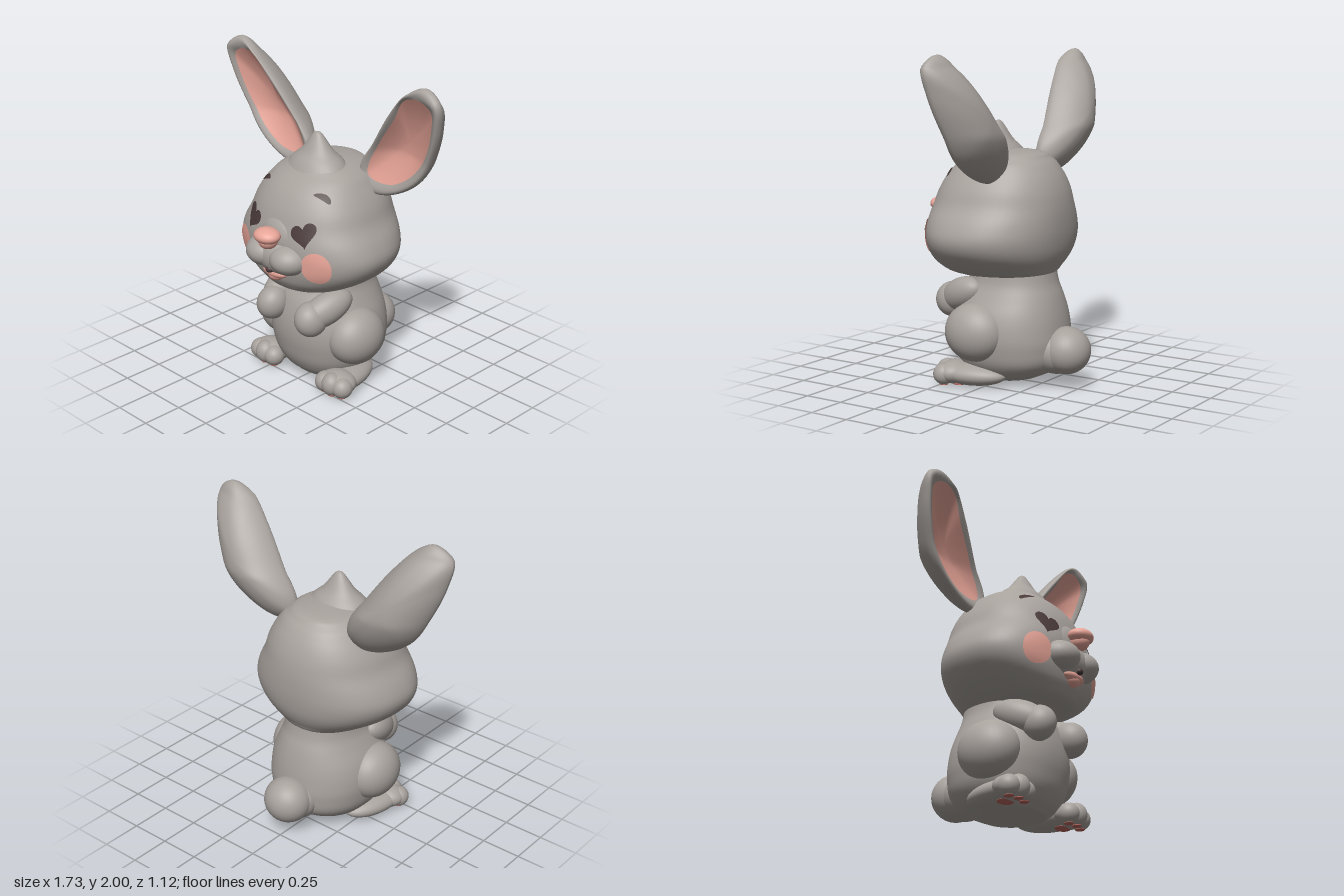
import * as THREE from 'three';

const mat = (name, color, extra = {}) => new THREE.MeshStandardMaterial({ name, color, ...extra });

// Horizontal slices: [y, half width, back z, front z]
const HEAD = [
  [0.635, 0.12, -0.14, 0.16], [0.67, 0.25, -0.28, 0.34], [0.72, 0.355, -0.325, 0.4], [0.8, 0.46, -0.365, 0.43],
  [0.9, 0.51, -0.385, 0.44], [1.0, 0.485, -0.39, 0.44], [1.1, 0.425, -0.385, 0.42], [1.2, 0.385, -0.365, 0.385],
  [1.3, 0.32, -0.32, 0.32], [1.37, 0.25, -0.26, 0.235], [1.41, 0.15, -0.18, 0.15], [1.425, 0.001, -0.02, 0.0],
];
const BODY = [
  [0.01, 0.001, -0.001, 0.001], [0.02, 0.13, -0.13, 0.13], [0.05, 0.22, -0.24, 0.2], [0.12, 0.3, -0.35, 0.26],
  [0.25, 0.345, -0.39, 0.3], [0.35, 0.35, -0.385, 0.31], [0.45, 0.33, -0.37, 0.3], [0.55, 0.285, -0.345, 0.27],
  [0.62, 0.255, -0.32, 0.23], [0.72, 0.24, -0.3, 0.2],
];
// Ear outlines, outer rim and inner lining, point for point
const EAR_OUT = [[0.21, 1.3], [0.32, 1.245], [0.5, 1.29], [0.67, 1.41], [0.78, 1.6], [0.845, 1.78],
  [0.86, 1.93], [0.75, 2.0], [0.635, 1.95], [0.48, 1.79], [0.33, 1.58], [0.215, 1.41]];
const EAR_IN = [[0.27, 1.36], [0.32, 1.33], [0.465, 1.34], [0.62, 1.44], [0.73, 1.6], [0.79, 1.77],
  [0.8, 1.88], [0.71, 1.93], [0.605, 1.9], [0.52, 1.775], [0.385, 1.6], [0.285, 1.44]];

// Grid of points closed around u; f(u, v) returns [x, y, z]
function grid(nu, nv, f, flip = false) {
  const pos = [], idx = [];
  for (let i = 0; i <= nv; i++) for (let j = 0; j < nu; j++) pos.push(...f(j / nu, i / nv));
  for (let i = 0; i < nv; i++) for (let j = 0; j < nu; j++) {
    const a = i * nu + j, b = i * nu + (j + 1) % nu, c = b + nu, d = a + nu;
    idx.push(...(flip ? [a, c, d, a, b, c] : [a, d, c, a, c, b]));
  }
  const g = new THREE.BufferGeometry();
  g.setAttribute('position', new THREE.Float32BufferAttribute(pos, 3));
  g.setIndex(idx);
  g.computeVertexNormals();
  return g;
}

// Smooth interpolation between slices
function slicer(rows) {
  const it = new THREE.CubicInterpolant(rows.map(r => r[0]), rows.flatMap(r => r.slice(1)), 3, new Float32Array(3));
  return y => Array.from(it.evaluate(y));
}
const POWER = 2.2;
const bend = t => Math.sign(t) * Math.abs(t) ** (2 / POWER);
const widest = (zb, zf) => zb + (zf - zb) * 0.56;

function loft(rows) {
  const at = slicer(rows), lo = rows[0][0], hi = rows[rows.length - 1][0];
  return grid(64, 48, (u, v) => {
    const y = lo + (hi - lo) * (1 - Math.cos(Math.PI * v)) / 2, [w, zb, zf] = at(y), t = u * Math.PI * 2;
    const s = bend(Math.sin(t)), zc = widest(zb, zf);
    return [w * bend(Math.cos(t)), y, zc + (s > 0 ? zf - zc : zc - zb) * s];
  });
}

const headAt = slicer(HEAD);
function faceZ(x, y) {
  const [w, zb, zf] = headAt(y), zc = widest(zb, zf);
  return zc + (zf - zc) * Math.max(0, 1 - Math.abs(x / w) ** POWER) ** (1 / POWER);
}

// Thin painted patch that follows the face; outline(t) gives offsets from (cx, cy), turned by tilt
function patch(cx, cy, tilt, outline, s) {
  const c = Math.cos(tilt), n = Math.sin(tilt);
  return grid(48, 8, (u, v) => {
    const [ox, oy] = outline(u * Math.PI * 2);
    const x = cx + (ox * c - oy * n) * v, y = cy + (ox * n + oy * c) * v;
    return [s * x, y, faceZ(x, y) + 0.008];
  }, s < 0);
}

export function createModel() {
  const root = new THREE.Group();
  root.name = 'rabbit';
  const fur = mat('grey fur', 0xa8a29d);
  const pink = mat('pink skin', 0xeca89b, { side: THREE.DoubleSide });
  const dark = mat('dark brown', 0x4a3a3a);
  const rose = mat('rose pads', 0xb9685f);

  const add = (name, geo, m, parent = root) => {
    const mesh = new THREE.Mesh(geo, m);
    mesh.name = name;
    parent.add(mesh);
    return mesh;
  };
  const ball = (name, m, p, r, rot = [0, 0, 0], parent = root) => {
    const mesh = add(name, new THREE.SphereGeometry(1, 32, 24), m, parent);
    mesh.position.set(...p);
    mesh.scale.set(...r);
    mesh.rotation.set(...rot);
    return mesh;
  };

  add('body', loft(BODY), fur);
  add('head', loft(HEAD), fur);
  ball('tail', fur, [0, 0.23, -0.42], [0.15, 0.143, 0.145]);
  ball('tailRoot', fur, [0, 0.22, -0.35], [0.155, 0.14, 0.15]);

  // Pointed tuft on the crown
  const tuft = new THREE.SplineCurve([[0.23, 1.35], [0.175, 1.42], [0.11, 1.475], [0.055, 1.545], [0.025, 1.58], [0, 1.59]]
    .map(p => new THREE.Vector2(...p)));
  const crown = add('tuft', new THREE.LatheGeometry(tuft.getPoints(20), 32), fur);
  crown.scale.z = 0.75;
  crown.position.z = 0.07;

  // Muzzle, nose and mouth
  ball('noseBridge', fur, [0, 1.0, 0.355], [0.17, 0.16, 0.1]);
  ball('muzzle', fur, [0, 0.9, 0.36], [0.22, 0.13, 0.14]);
  ball('nose', pink, [0, 1.05, 0.485], [0.087, 0.047, 0.075]);
  ball('noseTip', pink, [0, 1.02, 0.475], [0.058, 0.055, 0.065]);
  ball('lowerLip', pink, [0, 0.802, 0.425], [0.095, 0.035, 0.045]);
  ball('lowerLipTip', pink, [0, 0.785, 0.42], [0.055, 0.04, 0.045]);
  ball('mouth', dark, [0, 0.83, 0.47], [0.025, 0.022, 0.025]);

  for (const s of [1, -1]) {
    const side = new THREE.Group();
    side.name = s > 0 ? 'leftSide' : 'rightSide';
    root.add(side);
    const part = (name, m, [x, y, z], r, [rx, ry, rz] = [0, 0, 0]) =>
      ball(name, m, [s * x, y, z], r, [rx, s * ry, s * rz], side);

    part('muzzleLobe', fur, [0.1, 0.905, 0.395], [0.125, 0.095, 0.13]);

    // Heart-shaped eye, brow and blush
    add('eye', patch(0.208, 1.088, 0.35, t => [
      -0.074 * Math.sin(t) ** 3,
      0.075 * (13 * Math.cos(t) - 5 * Math.cos(2 * t) - 2 * Math.cos(3 * t) - Math.cos(4 * t)) / 15], s), dark, side);
    add('brow', patch(0.238, 1.292, -0.4, t => {
      const a = 0.054 * Math.cos(t);
      return [a, 0.012 * Math.sin(t) - 4 * a * a];
    }, s), dark, side);
    add('blush', patch(0.3, 0.898, 0, t => [0.085 * Math.cos(t), 0.098 * Math.sin(t)], s), pink, side);

    // Ear: rolled rim and cupped back in one skin, with a sunken lining
    const curve = pts => new THREE.CatmullRomCurve3(pts.map(([x, y]) => new THREE.Vector3(x, y, 0)), true);
    const outer = curve(EAR_OUT), inner = curve(EAR_IN), mid = new THREE.Vector3(0.55, 1.61, 0);
    const rimZ = y => Math.max(-0.05, 0.03 - 0.2 * Math.abs(1.93 - y));
    add('ear', grid(64, 30, (u, v) => {
      const o = outer.getPoint(u);
      if (v < 0.3) {
        const k = v / 0.3, p = inner.getPoint(u).lerp(o, Math.sin(k * Math.PI / 2));
        return [s * p.x, p.y, rimZ(p.y) - 0.025 + 0.025 * Math.sin(k * Math.PI) - 0.015 * k];
      }
      const q = (v - 0.3) / 0.7 * Math.PI / 2, p = mid.clone().lerp(o, Math.cos(q));
      return [s * p.x, p.y, rimZ(p.y) - 0.04 - 0.18 * Math.sin(q) ** 1.35];
    }, s < 0), fur, side);
    add('earLining', grid(64, 12, (u, v) => {
      const p = mid.clone().lerp(inner.getPoint(u), v);
      return [s * p.x, p.y, rimZ(p.y) - 0.025 - 0.06 * (1 - v * v)];
    }, s < 0), pink, side);

    // Arm folded forward on the chest
    part('arm', fur, [0.2, 0.54, 0.2], [0.092, 0.1, 0.18], [0.4, -0.3, 0]);
    part('paw', fur, [0.165, 0.493, 0.295], [0.095, 0.108, 0.107], [0, 0, 0.2]);

    // Haunch, foot, toes and sole pads
    part('thigh', fur, [0.295, 0.34, 0.04], [0.155, 0.178, 0.195]);
    part('foot', fur, [0.275, 0.075, 0.08], [0.11, 0.068, 0.22], [0, 0.2, 0]);
    part('instep', fur, [0.295, 0.08, 0.19], [0.12, 0.072, 0.1]);
    [[0.228, 0.235], [0.295, 0.245], [0.362, 0.225]].forEach(([x, z], i) => {
      part('toe', fur, [x, i === 1 ? 0.08 : 0.072, z], [0.064, i === 1 ? 0.072 : 0.064, 0.065]);
      part('toePad', rose, [x, 0.012, z], [0.027, 0.009, 0.03]);
    });
    part('solePad', rose, [0.29, 0.012, 0.15], [0.055, 0.008, 0.045]);
  }
  return root;
}
